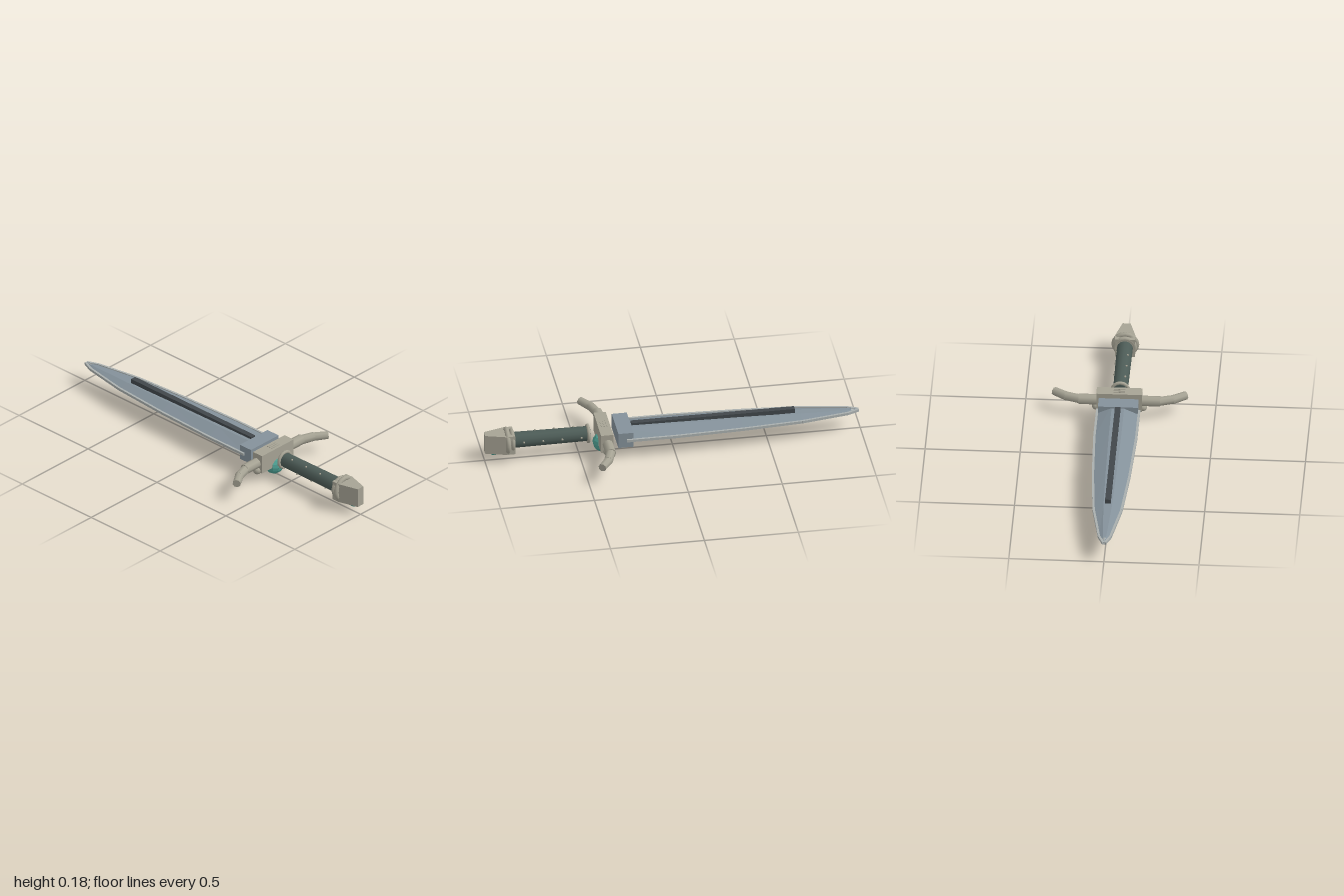
import * as THREE from 'three';

const MID = 0.11; // height of the long axis
const mat = (color, flatShading = true) =>
  new THREE.MeshStandardMaterial({ color, flatShading, side: THREE.DoubleSide });

const STEEL = mat(0x84919a), EDGE = mat(0xa9afae), DARK = mat(0x41474b);
const METAL = mat(0xa6a394), SMOOTH_METAL = mat(0xa6a394, false);
const WRAP = mat(0x4d5c57, false), GEM = mat(0x4fa295);

// Blade outline from guard to tip: z, half width, half thickness
const OUTLINE = [
  [0.26, 0.11, 0.035], [0, 0.11, 0.032], [-0.36, 0.096, 0.027],
  [-0.68, 0.073, 0.02], [-0.93, 0.03, 0.01], [-0.99, 0.004, 0.004],
];

function add(group, name, geometry, material, x = 0, y = MID, z = 0) {
  const mesh = new THREE.Mesh(geometry, material);
  mesh.name = name;
  mesh.position.set(x, y, z);
  group.add(mesh);
  return mesh;
}

// Cylinder stretched between two points
function rod(group, name, a, b, r0, r1, sides, material) {
  const from = new THREE.Vector3(...a), to = new THREE.Vector3(...b);
  const dir = to.clone().sub(from);
  const mesh = add(group, name, new THREE.CylinderGeometry(r1, r0, dir.length(), sides), material);
  mesh.position.copy(from).lerp(to, 0.5);
  mesh.quaternion.setFromUnitVectors(new THREE.Vector3(0, 1, 0), dir.normalize());
  return mesh;
}

// Loft of flattened six-sided sections along z
function bladeGeometry() {
  const pos = [], idx = [], n = 6;
  for (const [z, w, t] of OUTLINE) {
    const section = [[w, 0], [w * 0.3, t], [-w * 0.3, t], [-w, 0], [-w * 0.3, -t], [w * 0.3, -t]];
    for (const [x, y] of section) pos.push(x, y, z);
  }
  for (let s = 0; s < OUTLINE.length - 1; s++) {
    for (let i = 0; i < n; i++) {
      const a = s * n + i, b = s * n + (i + 1) % n;
      idx.push(a, a + n, b, b, a + n, b + n);
    }
  }
  const last = (OUTLINE.length - 1) * n;
  for (let i = 1; i < n - 1; i++) {
    idx.push(0, i, i + 1, last, last + i + 1, last + i);
  }
  const g = new THREE.BufferGeometry();
  g.setAttribute('position', new THREE.Float32BufferAttribute(pos, 3));
  g.setIndex(idx);
  g.computeVertexNormals();
  return g;
}

function makeBlade() {
  const blade = new THREE.Group();
  blade.name = 'blade';
  add(blade, 'bladeBody', bladeGeometry(), STEEL);
  add(blade, 'bladeCollar', new THREE.BoxGeometry(0.21, 0.085, 0.08), STEEL, 0, MID, 0.265);
  for (const side of [1, -1]) {
    // raised rib on each face
    add(blade, 'rib', new THREE.BoxGeometry(0.03, 0.024, 0.87), DARK, 0, MID + side * 0.035, -0.215);
    // cutting edge as strips that follow the outline
    for (let i = 0; i < OUTLINE.length - 1; i++) {
      const [z0, w0] = OUTLINE[i], [z1, w1] = OUTLINE[i + 1];
      const strip = add(blade, 'cuttingEdge',
        new THREE.BoxGeometry(0.012, 0.014, Math.hypot(z1 - z0, w1 - w0)), EDGE,
        side * (w0 + w1) / 2, MID, (z0 + z1) / 2);
      strip.rotation.y = side * Math.atan2(w0 - w1, z0 - z1);
    }
  }
  const tip = add(blade, 'tip', new THREE.ConeGeometry(0.012, 0.05, 6), EDGE, 0, MID, -0.975);
  tip.rotation.x = -Math.PI / 2;
  return blade;
}

function makeGuard() {
  const guard = new THREE.Group();
  guard.name = 'guard';
  add(guard, 'guardBlock', new THREE.BoxGeometry(0.24, 0.105, 0.065), METAL, 0, 0.107, 0.367);
  for (const dz of [-0.014, 0, 0.014]) {
    add(guard, 'guardRidge', new THREE.BoxGeometry(0.06, 0.006, 0.005), METAL, 0, 0.16, 0.367 + dz);
  }
  for (const s of [1, -1]) {
    // three straight pieces that bend back towards the grip
    rod(guard, 'armInner', [s * 0.11, 0.105, 0.363], [s * 0.215, 0.105, 0.363], 0.028, 0.028, 8, SMOOTH_METAL);
    rod(guard, 'armMiddle', [s * 0.205, 0.104, 0.363], [s * 0.285, 0.104, 0.389], 0.025, 0.024, 8, SMOOTH_METAL);
    rod(guard, 'armEnd', [s * 0.275, 0.103, 0.384], [s * 0.347, 0.103, 0.432], 0.024, 0.022, 8, SMOOTH_METAL);
    add(guard, 'guardBead', new THREE.SphereGeometry(0.022, 12, 8), SMOOTH_METAL, s * 0.123, 0.063, 0.367);
  }
  add(guard, 'guardGem', new THREE.SphereGeometry(0.052, 10, 8), GEM, 0, 0.052, 0.373);
  return guard;
}

function makeGrip() {
  const grip = new THREE.Group();
  grip.name = 'grip';
  rod(grip, 'gripCore', [0, MID, 0.44], [0, MID, 0.85], 0.039, 0.042, 12, WRAP);
  // small studs winding around the grip
  for (let i = 0; i < 10; i++) {
    const a = i * 2.1;
    add(grip, 'stud', new THREE.SphereGeometry(0.006, 6, 4), SMOOTH_METAL,
      Math.cos(a) * 0.041, MID + Math.sin(a) * 0.041, 0.49 + i * 0.034);
  }
  for (const [z, r, tube] of [[0.45, 0.044, 0.009], [0.855, 0.052, 0.012], [0.882, 0.061, 0.013]]) {
    add(grip, 'gripRing', new THREE.TorusGeometry(r, tube, 8, 16), SMOOTH_METAL, 0, MID, z);
  }
  return grip;
}

function makePommel() {
  const pommel = new THREE.Group();
  pommel.name = 'pommel';
  // wedge seen from above, extruded upwards
  const plan = new THREE.Shape([
    [-0.052, -0.845], [0.052, -0.845], [0.053, -0.89], [0.021, -1], [-0.021, -1], [-0.053, -0.89],
  ].map(([x, y]) => new THREE.Vector2(x, y)));
  const wedge = new THREE.ExtrudeGeometry(plan, { depth: 0.108, bevelEnabled: false });
  wedge.rotateX(-Math.PI / 2);
  add(pommel, 'pommelWedge', wedge, METAL, 0, 0.053, 0);
  add(pommel, 'pommelGem', new THREE.SphereGeometry(0.023, 10, 8), GEM, 0, 0.053, 0.95);
  return pommel;
}

export function createModel() {
  const model = new THREE.Group();
  model.name = 'dagger';
  model.add(makeBlade(), makeGuard(), makeGrip(), makePommel());
  return model;
}
